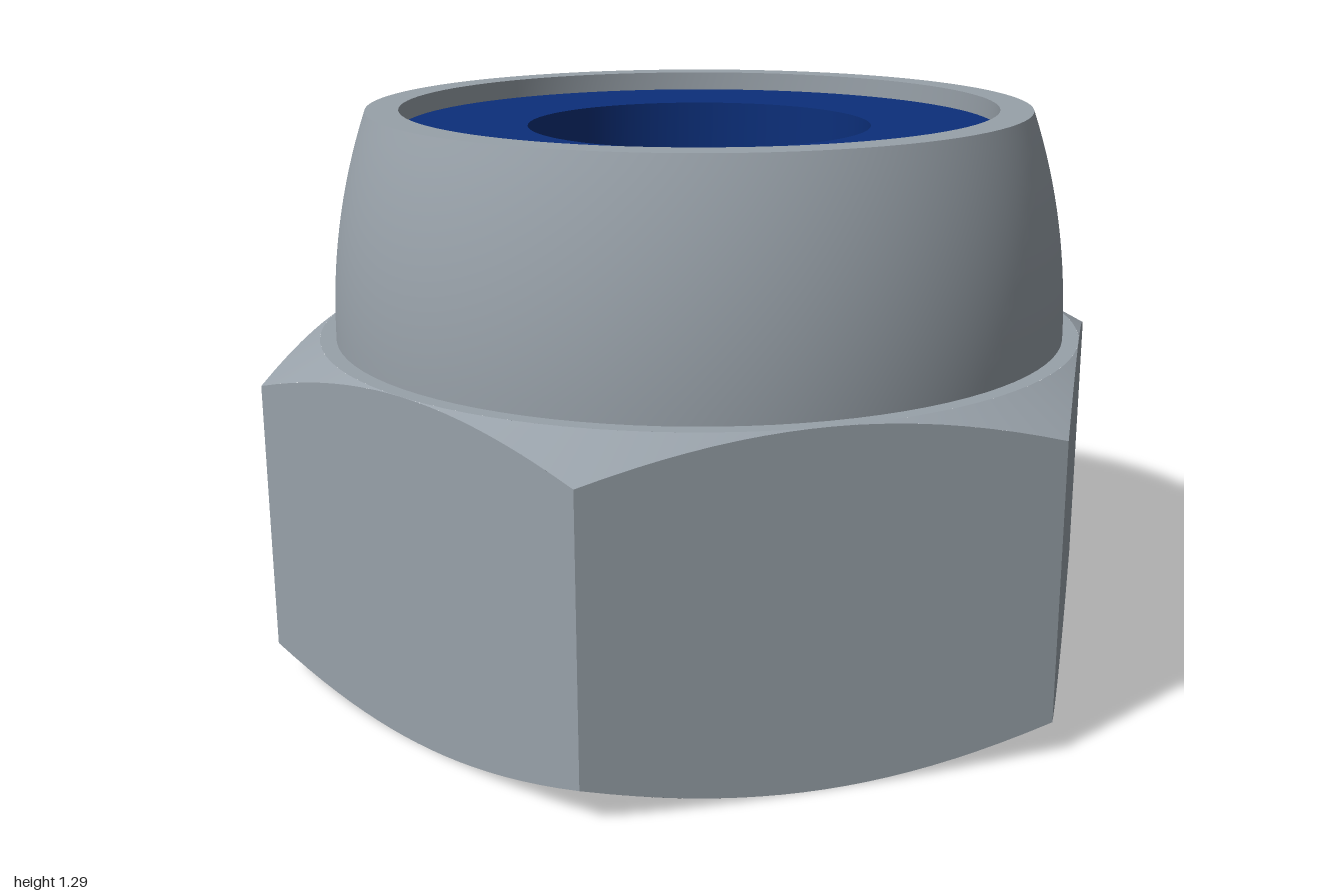
import * as THREE from 'three';

const SEG = 96; // divisible by 6, so hexagon corners fall on grid lines
const APOTHEM = 0.885, HEX_TOP = 0.775, START = -Math.PI / 15;
const BORE = 0.395, THREAD_TOP = 0.85;

// Grid surface from fn(angle, v) -> [radius, y]; v runs up outside, down inside
function surface(fn, rows, from = 0, to = Math.PI * 2, cols = SEG) {
  const pos = [], index = [];
  for (let j = 0; j <= rows; j++) {
    for (let i = 0; i <= cols; i++) {
      const a = from + ((to - from) * i) / cols;
      const [r, y] = fn(a, j / rows);
      pos.push(r * Math.cos(a), y, -r * Math.sin(a));
      if (i < cols && j < rows) {
        const p = j * (cols + 1) + i, q = p + cols + 1;
        index.push(p, p + 1, q + 1, p, q + 1, q);
      }
    }
  }
  const geo = new THREE.BufferGeometry();
  geo.setAttribute('position', new THREE.Float32BufferAttribute(pos, 3));
  geo.setIndex(index);
  geo.computeVertexNormals();
  // Match the normals on both sides of the closing seam
  if (to - from > 6.28) {
    const n = geo.attributes.normal, a = new THREE.Vector3(), b = new THREE.Vector3();
    for (let j = 0; j <= rows; j++) {
      const p = j * (cols + 1), q = p + cols;
      a.fromBufferAttribute(n, p).add(b.fromBufferAttribute(n, q)).normalize();
      n.setXYZ(p, a.x, a.y, a.z);
      n.setXYZ(q, a.x, a.y, a.z);
    }
  }
  return geo;
}

// Straight-sided surface of revolution between two [radius, y] points
const cone = (p, q) => surface((a, v) => [p[0] + (q[0] - p[0]) * v, p[1] + (q[1] - p[1]) * v], 1);

// Hexagon radius at an angle, and how far the 30 degree chamfer cuts in there
function hexRadius(a) {
  const step = Math.PI / 3;
  const t = (((a - START) % step) + step) % step;
  return APOTHEM / Math.cos(t - step / 2);
}
const chamferDrop = (r) => (r - APOTHEM) * 0.56;

export function createModel() {
  const steel = new THREE.MeshStandardMaterial({ color: 0x98a1a9 });
  steel.name = 'steel';
  const blue = new THREE.MeshStandardMaterial({ color: 0x0c2f7a });
  blue.name = 'blueNylon';

  const model = new THREE.Group();
  model.name = 'lockNut';
  const group = (name) => {
    const g = new THREE.Group();
    g.name = name;
    model.add(g);
    return g;
  };
  const add = (parent, name, geo, mat) => {
    const mesh = new THREE.Mesh(geo, mat);
    mesh.name = name;
    parent.add(mesh);
  };

  // Hexagonal body: six flats with curved ends
  const body = group('hexBody');
  for (let k = 0; k < 6; k++) {
    const from = START + (k * Math.PI) / 3;
    add(body, 'hexFlat', surface((a, v) => {
      const r = hexRadius(a), d = chamferDrop(r);
      return [r, d + v * (HEX_TOP - 2 * d)];
    }, 1, from, from + Math.PI / 3, 20), steel);
  }

  // Conical chamfers and flat end faces
  const turn = START + Math.PI * 2;
  add(body, 'topChamfer', surface((a, v) => {
    const r = APOTHEM + (hexRadius(a) - APOTHEM) * (1 - v);
    return [r, HEX_TOP - chamferDrop(r)];
  }, 1, START, turn), steel);
  add(body, 'bottomChamfer', surface((a, v) => {
    const r = APOTHEM + (hexRadius(a) - APOTHEM) * v;
    return [r, chamferDrop(r)];
  }, 1, START, turn), steel);
  add(body, 'topFace', cone([APOTHEM, HEX_TOP], [0.84, HEX_TOP]), steel);
  add(body, 'bottomFace', cone([0.5, 0], [APOTHEM, 0]), steel);

  // Rounded collar with a thin rim around the insert
  const collar = group('collar');
  add(collar, 'collarWall', surface((a, v) => [
    0.848 - 0.088 * v ** 2.1, HEX_TOP + v * (1.29 - HEX_TOP),
  ], 16), steel);
  add(collar, 'collarRim', cone([0.76, 1.29], [0.685, 1.29]), steel);
  add(collar, 'rimInside', cone([0.685, 1.29], [0.685, 1.245]), steel);

  // Countersink and right-handed helical thread
  const bore = group('threadedBore');
  add(bore, 'countersink', cone([0.43, 0.05], [0.5, 0]), steel);
  const pitch = 0.17;
  add(bore, 'thread', surface((a, v) => {
    const y = THREAD_TOP + (0.05 - THREAD_TOP) * v;
    const phase = (((y / pitch - a / (2 * Math.PI)) % 1) + 1) % 1;
    const groove = THREE.MathUtils.clamp(1.35 - Math.abs(phase - 0.5) * 3.4, 0, 1);
    const r = 0.4 + 0.07 * groove;
    const fade = Math.min(1, (y - 0.05) / 0.06);
    return [0.43 + (r - 0.43) * fade, y];
  }, 80), steel);

  // Blue locking insert
  const insert = group('lockingInsert');
  add(insert, 'insertTop', cone([0.685, 1.245], [BORE, 1.245]), blue);
  add(insert, 'insertBore', cone([BORE, 1.245], [BORE, THREAD_TOP]), blue);
  add(insert, 'insertUnderside', cone([BORE, THREAD_TOP], [0.48, THREAD_TOP]), blue);

  return model;
}
